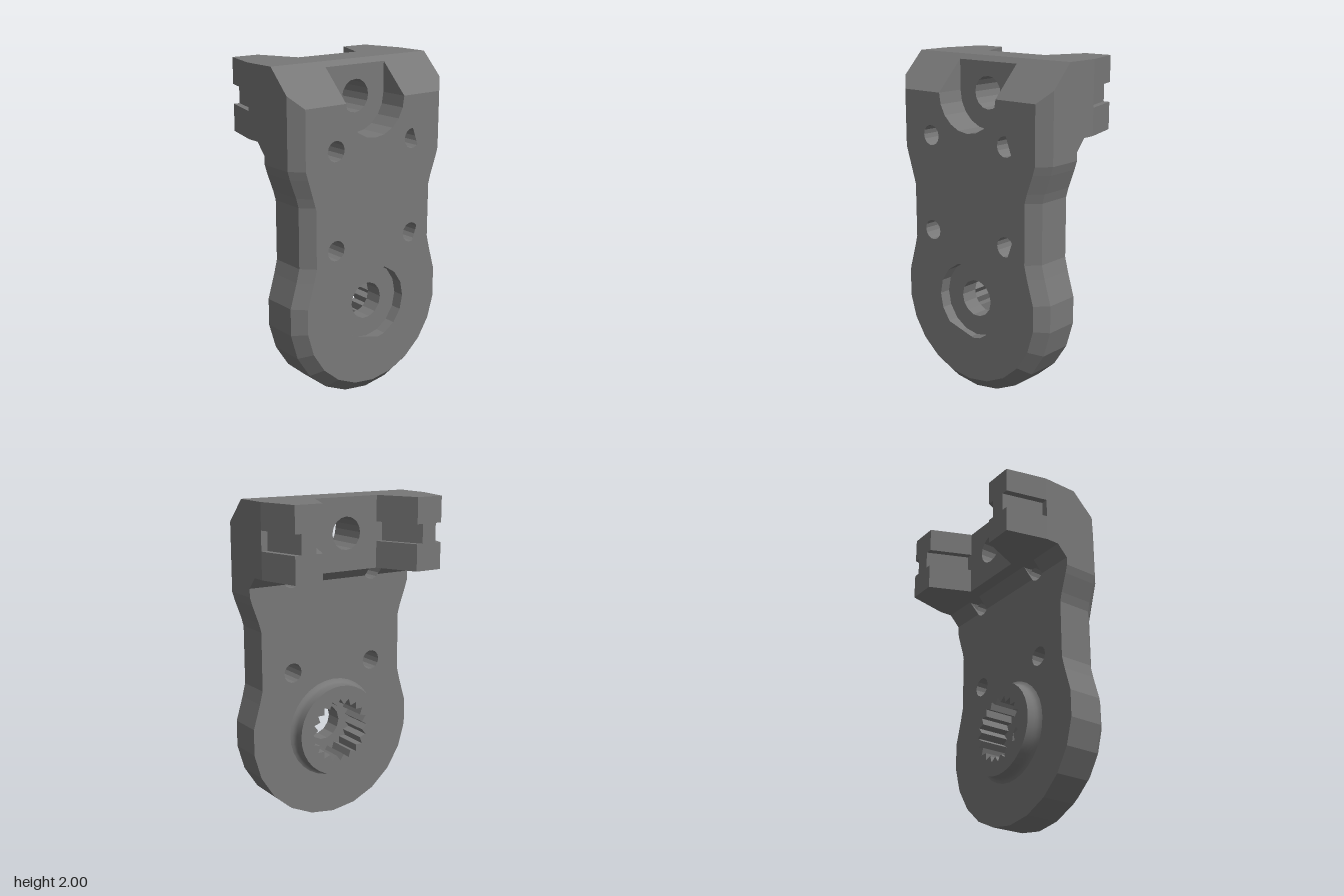
import * as THREE from 'three';
import { toCreasedNormals } from 'three/addons/utils/BufferGeometryUtils.js';

const steel = new THREE.MeshStandardMaterial({ color: 0x787878 });
steel.name = 'grey';

const circle = (cx, cy, r, n) => Array.from({ length: n }, (_, i) => {
  const a = (i / n) * Math.PI * 2;
  return [cx + r * Math.cos(a), cy + r * Math.sin(a)];
});
const toPoints = (pts) => pts.map(([x, y]) => new THREE.Vector2(x, y));

// Prism between two z levels; an optional rule moves each vertex
function slab(pts, holes, z0, z1, rule) {
  const shape = new THREE.Shape(toPoints(pts));
  for (const h of holes) shape.holes.push(new THREE.Path(toPoints(h)));
  const geo = new THREE.ExtrudeGeometry(shape, { depth: z1 - z0, bevelEnabled: false, steps: 1 });
  geo.translate(0, 0, z0);
  if (rule) {
    const p = geo.attributes.position;
    const v = new THREE.Vector3();
    for (let i = 0; i < p.count; i++) {
      v.fromBufferAttribute(p, i);
      rule(v);
      p.setXYZ(i, v.x, v.y, v.z);
    }
    geo.computeVertexNormals();
  }
  return geo;
}

export function createModel() {
  const model = new THREE.Group();
  model.name = 'bracketArm';
  const add = (name, geo) => {
    const mesh = new THREE.Mesh(geo, steel);
    mesh.name = name;
    model.add(mesh);
  };

  // Plate outline: round foot, narrow waist, square shoulders
  const HUB = 0.57, R = 0.565, INSET = 0.07;
  const right = [];
  for (let i = 0; i <= 6; i++) {
    const a = ((-90 + 16.4 * i) * Math.PI) / 180;
    right.push([R * Math.cos(a), HUB + R * Math.sin(a)]);
  }
  right.push([0.515, 0.8], [0.495, 0.88], [0.495, 1.235], [0.51, 1.29], [0.55, 1.4], [R, 1.45], [R, 2]);
  const left = right.slice(1).reverse().map(([x, y]) => [-x, y]);
  const plain = [...right, ...left];

  // Same outline with the U-shaped pocket cut from the top
  const pocket = [[0.215, 2]];
  for (let i = 0; i <= 10; i++) {
    const a = (-Math.PI * i) / 10;
    pocket.push([0.215 * Math.cos(a), 1.79 + 0.215 * Math.sin(a)]);
  }
  pocket.push([-0.215, 2]);
  const notched = [...right, ...pocket, ...left];

  // Holes
  const screws = [];
  for (const x of [-0.285, 0.285]) for (const y of [0.96, 1.535]) screws.push(circle(x, y, 0.06, 14));
  const topHole = circle(0, 1.79, 0.097, 16);
  const spline = [];
  const TEETH = 20;
  for (let i = 0; i < TEETH * 2; i++) {
    const a = (i / (TEETH * 2)) * Math.PI * 2, r = i % 2 ? 0.165 : 0.2;
    spline.push([r * Math.cos(a), HUB + r * Math.sin(a)]);
  }

  // Top slope, and the chamfer round the front edge
  const slope = (v) => { v.y = Math.min(v.y, 2.13 - v.z); };
  const chamfer = (v) => {
    slope(v);
    if (v.z < 0.3) return;
    const d = Math.hypot(v.x, v.y - HUB);
    if (v.y < HUB) {
      if (d > 0.4) {
        const k = (R - INSET) / R;
        v.x *= k;
        v.y = HUB + (v.y - HUB) * k;
      }
    } else if (Math.abs(v.x) > 0.45) v.x -= Math.sign(v.x) * INSET;
  };

  // Plate in layers from back to front
  add('plateBack', slab(plain, [...screws, topHole, spline], 0.055, 0.13));
  add('plateMiddle', slab(plain, [...screws, topHole, spline], 0.13, 0.16, slope));
  add('plateWeb', slab(notched, [...screws, circle(0, HUB, 0.112, 14)], 0.16, 0.27, slope));
  add('plateFront', slab(notched, [...screws, circle(0, HUB, 0.23, 16)], 0.27, 0.34, chamfer));

  // Head block behind the top of the plate
  add('headBlock', slab([[-R, 1.57], [R, 1.57], [R, 2], [-R, 2]], [topHole], -0.09, 0.055));

  // Sloped gusset below the head, interrupted by the upper screw holes
  const gap = (c, s) => [[c + s * 0.049, 1.5], [c + s * 0.06, 1.535], [c + s * 0.049, 1.57]];
  const gussetRule = (v) => { if (v.z < 0) v.y = 1.57; };
  const gussets = [
    [[-R, 1.5], ...gap(-0.285, -1), [-R, 1.57]],
    [...gap(-0.285, 1).reverse(), ...gap(0.285, -1)],
    [[R, 1.5], ...gap(0.285, 1), [R, 1.57]],
  ];
  for (const g of gussets) add('headGusset', slab(g, [], -0.01, 0.055, gussetRule));

  // Two rear ears, each with a groove on both sloping sides
  const full = [[R, 0.09], [0.5, 0.34], [0.325, 0.34], [0.215, 0.09]];
  const slim = [[0.525, 0.09], [0.46, 0.34], [0.365, 0.34], [0.255, 0.09]];
  for (const s of [-1, 1]) {
    for (const [name, pts, y0, y1] of [
      ['earLower', full, 1.57, 1.73], ['earGroove', slim, 1.73, 1.845], ['earUpper', full, 1.845, 2],
    ]) {
      const geo = slab(pts.map(([x, y]) => [x * s, y]), [], y0, y1);
      geo.rotateX(-Math.PI / 2);
      add(name, geo);
    }
  }

  // Splined boss on the back with a smooth filleted foot
  add('splineBoss', slab(circle(0, HUB, 0.28, 32), [spline], -0.03, 0.055));
  const profile = [[0.31, -0.055], [0.297, -0.048], [0.288, -0.037], [0.283, -0.02], [0.283, 0.03], [0.279, 0.03]];
  const foot = toCreasedNormals(new THREE.LatheGeometry(toPoints(profile), 32), 0.7);
  foot.rotateX(-Math.PI / 2);
  foot.translate(0, HUB, 0);
  add('bossFillet', foot);

  return model;
}
